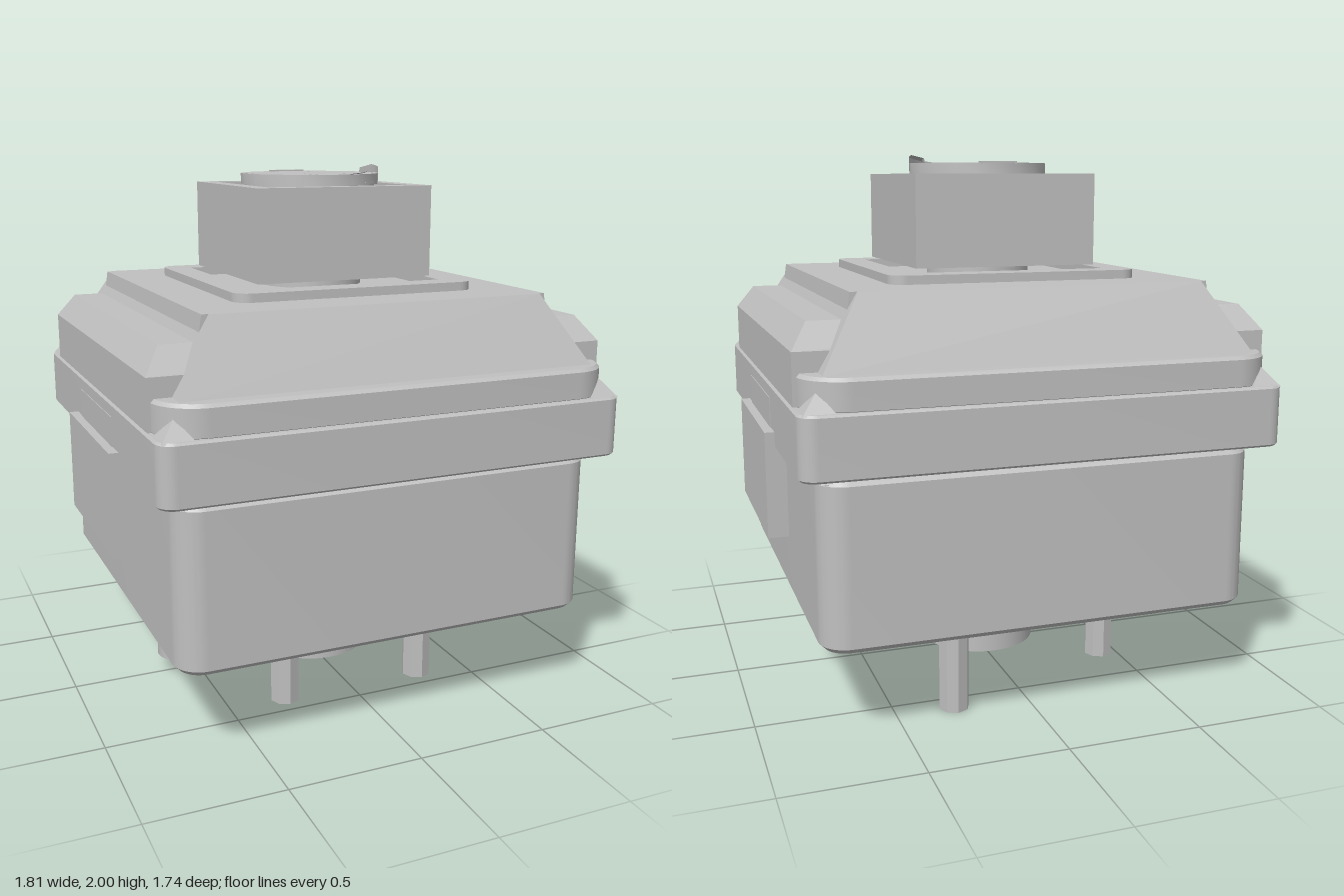
import * as THREE from 'three';
import { toCreasedNormals } from 'three/addons/utils/BufferGeometryUtils.js';

const grey = new THREE.MeshStandardMaterial({ color: 0xc0c0c0 });
grey.name = 'light grey plastic';

// rounded rectangle outline with half sizes a, b and corner radius r
function outline(a, b, r, C = THREE.Shape) {
  const s = new C();
  if (r <= 0) {
    s.moveTo(-a, -b); s.lineTo(a, -b); s.lineTo(a, b); s.lineTo(-a, b); s.closePath();
    return s;
  }
  s.absarc(a - r, b - r, r, 0, Math.PI / 2);
  s.absarc(r - a, b - r, r, Math.PI / 2, Math.PI);
  s.absarc(r - a, r - b, r, Math.PI, Math.PI * 1.5);
  s.absarc(a - r, r - b, r, Math.PI * 1.5, Math.PI * 2);
  s.closePath();
  return s;
}

// upright extrusion of a shape from y0 to y1
function rise(shape, y0, y1, bevel = 0) {
  const g = new THREE.ExtrudeGeometry(shape, {
    depth: y1 - y0 - 2 * bevel, bevelEnabled: bevel > 0, bevelSize: bevel,
    bevelThickness: bevel, bevelOffset: -bevel, bevelSegments: 1, curveSegments: 10,
  });
  g.rotateX(-Math.PI / 2).translate(0, y0 + bevel, 0);
  return toCreasedNormals(g, 0.6);
}

// block whose top (tx, tz) and bottom (bx, bz) half sizes differ
function taper(bx, bz, tx, tz, y0, y1) {
  const g = new THREE.BoxGeometry(2, y1 - y0, 2).translate(0, (y0 + y1) / 2, 0);
  const p = g.attributes.position, mid = (y0 + y1) / 2;
  for (let i = 0; i < p.count; i++) {
    const up = p.getY(i) > mid;
    p.setX(i, p.getX(i) * (up ? tx : bx));
    p.setZ(i, p.getZ(i) * (up ? tz : bz));
  }
  g.computeVertexNormals();
  return g;
}

// round post from y0 to y1
const post = (r, y0, y1, n = 40) =>
  new THREE.CylinderGeometry(r, r, y1 - y0, n).translate(0, (y0 + y1) / 2, 0);

// raised lip that climbs along the rim of the stem cap
function rimLip() {
  const pos = [], idx = [], n = 16;
  for (let i = 0; i <= n; i++) {
    const t = i / n, a = (1 - t) * 1.35, top = 1.972 + 0.028 * t;
    for (const [r, y] of [[0.265, 1.94], [0.265, top], [0.215, top - 0.012], [0.205, 1.94]])
      pos.push(r * Math.cos(a), y, r * Math.sin(a));
    if (i < n) for (let k = 0; k < 4; k++) {
      const p = i * 4 + k, q = i * 4 + (k + 1) % 4;
      idx.push(p, q, p + 4, q, q + 4, p + 4);
    }
  }
  idx.push(0, 2, 1, 0, 3, 2);
  const e = n * 4;
  idx.push(e, e + 1, e + 2, e, e + 2, e + 3);
  const g = new THREE.BufferGeometry();
  g.setAttribute('position', new THREE.Float32BufferAttribute(pos, 3));
  g.setIndex(idx);
  return toCreasedNormals(g, 0.5);
}

export function createModel() {
  const model = new THREE.Group();
  model.name = 'keySwitch';
  const add = (name, geo, x = 0, y = 0, z = 0) => {
    const m = new THREE.Mesh(geo, grey);
    m.name = name;
    m.position.set(x, y, z);
    model.add(m);
    return m;
  };
  const box = (name, w, h, d, x, y, z) => add(name, new THREE.BoxGeometry(w, h, d), x, y, z);

  // lower housing and flange
  add('lowerHousing', rise(outline(0.8, 0.8, 0.1), 0.355, 0.955, 0.02));
  add('housingNeck', rise(outline(0.775, 0.775, 0.09), 0.94, 0.98));
  add('flange', rise(outline(0.87, 0.87, 0.06), 0.97, 1.19, 0.008));

  // upper cover: lip, sloped front and back, stepped side shoulders
  add('coverLip', rise(outline(0.85, 0.85, 0.16), 1.18, 1.3, 0.012));
  add('coverSlope', taper(0.78, 0.79, 0.63, 0.66, 1.295, 1.55));
  add('coverTop', taper(0.672, 0.65, 0.655, 0.65, 1.44, 1.55));
  add('shoulderBase', taper(0.862, 0.71, 0.862, 0.71, 1.18, 1.37));
  add('shoulderSlope', taper(0.862, 0.71, 0.8, 0.64, 1.37, 1.46));

  // collar around the stem opening
  const collar = outline(0.47, 0.47, 0.06);
  collar.holes.push(outline(0.37, 0.37, 0, THREE.Path));
  add('collar', rise(collar, 1.545, 1.582));

  // hollow square stem shroud
  const shroud = outline(0.345, 0.345, 0);
  shroud.holes.push(outline(0.28, 0.28, 0, THREE.Path));
  add('stemShroud', rise(shroud, 1.595, 1.93));
  box('shroudFloor', 0.6, 0.05, 0.6, 0, 1.62, 0);
  add('stemNeck', post(0.2, 1.5, 1.62));

  // round stem with a slit cap
  add('stem', post(0.25, 1.62, 1.945));
  const cap = new THREE.Shape().absarc(0, 0, 0.265, 0, Math.PI * 2);
  const slit = (x, z, w, d) => {
    const h = new THREE.Path();
    h.moveTo(x - w, z - d); h.lineTo(x + w, z - d);
    h.lineTo(x + w, z + d); h.lineTo(x - w, z + d); h.closePath();
    cap.holes.push(h);
  };
  for (const s of [-1, 1]) {
    for (const t of [-1, 1]) slit(s * 0.07, t * 0.175, 0.004, 0.065);
    slit(s * 0.247, 0, 0.004, 0.06);
  }
  add('stemCap', rise(cap, 1.93, 1.97));
  add('capLip', rimLip());
  box('capTab', 0.14, 0.01, 0.03, 0, 1.97, -0.24);

  for (const s of [-1, 1]) {
    // side clips, hung from the flange
    box('sideClip', 0.075, 0.39, 0.67, s * 0.868, 0.835, 0);
    box('clipPanel', 0.006, 0.12, 0.5, s * 0.87, 1.08, 0);
    for (const t of [-1, 1]) {
      // raised flange corners and housing corner ribs
      const peak = new THREE.ConeGeometry(0.08, 0.07, 4, 1).rotateY(Math.PI / 4).toNonIndexed();
      peak.computeVertexNormals();
      add('flangePeak', peak, s * 0.8, 1.22, t * 0.8);
      const rib = box('cornerRib', 0.014, 0.53, 0.014, s * 0.765, 0.675, t * 0.765);
      rib.rotation.y = Math.PI / 4;
    }
    // side locating pegs
    add('sidePeg', post(0.096, 0.075, 0.36), s * 0.565, 0, 0);
  }

  // underside
  add('basePlate', rise(outline(0.61, 0.465, 0.02), 0.3, 0.36));
  add('baseRail', rise(outline(0.61, 0.052, 0.01), 0.21, 0.36, 0.01), 0, 0, -0.413);
  add('centrePost', post(0.226, 0.04, 0.31, 48));
  for (const [x, z, y] of [[-0.285, 0.43, 0.015], [0.28, 0.43, 0.015], [-0.43, -0.28, 0], [0.28, -0.57, 0]]) {
    const pin = post(0.056, y, 0.36, 8).toNonIndexed();
    pin.computeVertexNormals();
    add('contactPin', pin, x, 0, z);
  }
  return model;
}
